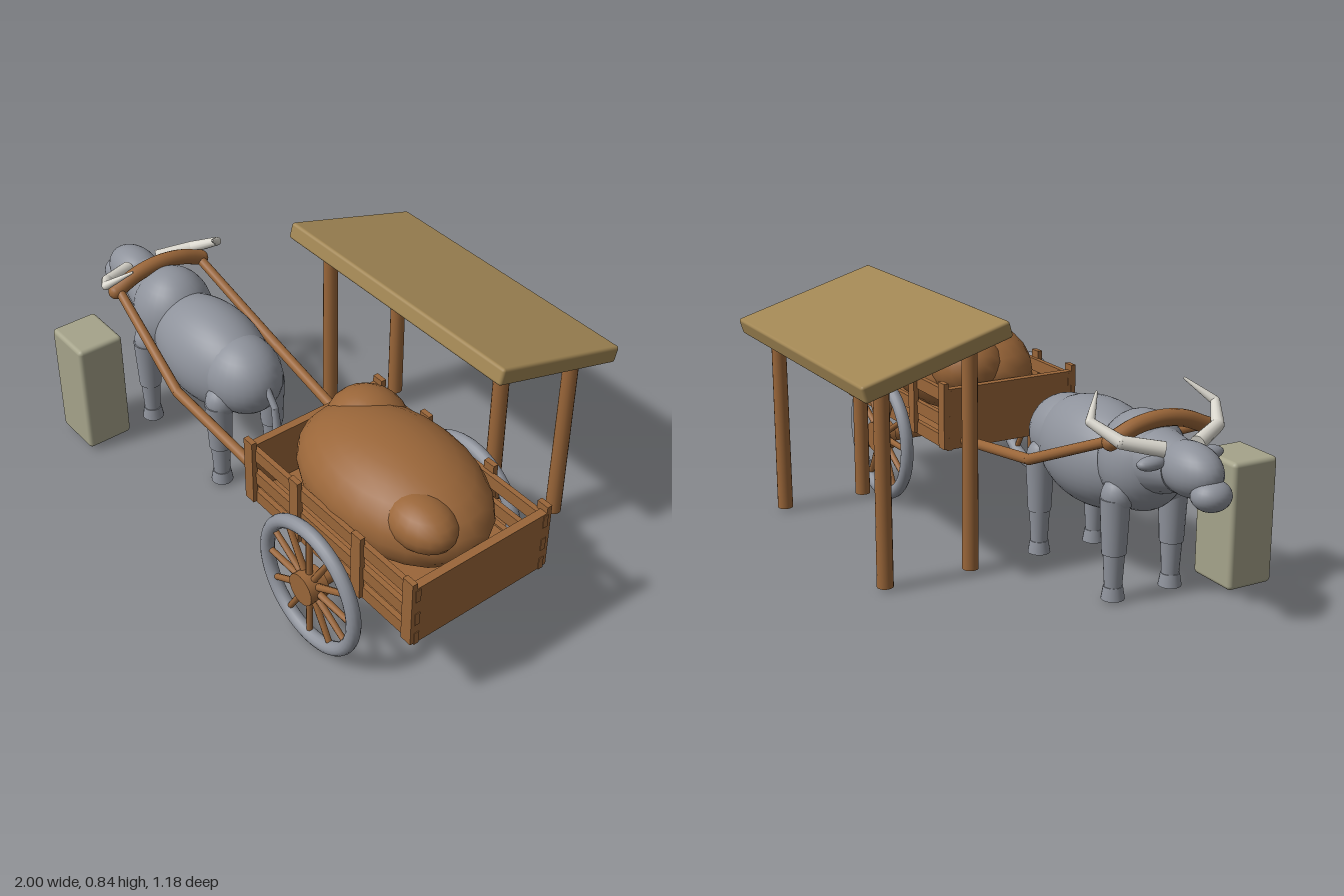
import * as THREE from 'three';
import { RoundedBoxGeometry } from 'three/addons/geometries/RoundedBoxGeometry.js';

const mat = (name, color) => Object.assign(new THREE.MeshStandardMaterial({ color }), { name });

export function createModel() {
  const wood = mat('brown wood', 0x9a6639);
  const hide = mat('grey hide', 0x8e929b);
  const horn = mat('pale horn', 0xd8d5cc);
  const thatch = mat('straw thatch', 0xa18654);
  const stone = mat('pale stone', 0xa5a38a);
  const model = new THREE.Group();
  model.name = 'oxCartAndShelter';
  const CZ = 0.2; // centre line of ox and cart

  const part = (parent, name, geo, m, x = 0, y = 0, z = 0) => {
    const mesh = new THREE.Mesh(geo, m);
    mesh.name = name;
    mesh.position.set(x, y, z);
    parent.add(mesh);
    return mesh;
  };
  const group = (name) => {
    const g = new THREE.Group();
    g.name = name;
    model.add(g);
    return g;
  };
  const box = (p, name, m, w, h, d, x, y, z) => part(p, name, new THREE.BoxGeometry(w, h, d), m, x, y, z);
  const ball = (p, name, m, [x, y, z], [rx, ry, rz], seg = 28) =>
    part(p, name, new THREE.SphereGeometry(1, seg, Math.round(seg * 0.6)).scale(rx, ry, rz), m, x, y, z);
  // Round bar from a to b, tapering from ra to rb
  const bar = (p, name, m, a, b, ra, rb = ra, seg = 14) => {
    const A = new THREE.Vector3(...a), B = new THREE.Vector3(...b);
    const dir = B.clone().sub(A);
    const mesh = part(p, name, new THREE.CylinderGeometry(rb, ra, dir.length(), seg), m);
    mesh.position.copy(A).add(B).multiplyScalar(0.5);
    mesh.quaternion.setFromUnitVectors(new THREE.Vector3(0, 1, 0), dir.normalize());
    return mesh;
  };
  // Chain of bars with rounded joints
  const chain = (p, name, m, pts, radii) => {
    for (let i = 0; i < pts.length - 1; i++) {
      bar(p, name, m, pts[i], pts[i + 1], radii[i], radii[i + 1]);
      if (i) ball(p, name + 'Joint', m, pts[i], [radii[i], radii[i], radii[i]], 12);
    }
  };

  // Shelter: sloping roof on four posts
  const shelter = group('shelter');
  const roof = part(shelter, 'roof', new RoundedBoxGeometry(1.02, 0.057, 0.525, 2, 0.01), thatch, 0.225, 0.748, -0.332);
  roof.rotation.x = -0.28;
  for (const x of [-0.19, 0.64]) {
    bar(shelter, 'frontPost', wood, [x, 0.015, -0.177], [x, 0.77, -0.177], 0.027, 0.025, 16);
    bar(shelter, 'backPost', wood, [x, 0.015, -0.483], [x, 0.685, -0.483], 0.027, 0.025, 16);
  }

  // Upright stone block
  part(model, 'stoneBlock', new RoundedBoxGeometry(0.187, 0.42, 0.168, 3, 0.015), stone, -0.673, 0.23, 0.508);

  // Cart bed, end boards, slatted sides
  const cart = group('cart');
  box(cart, 'floor', wood, 0.78, 0.035, 0.5, 0.6, 0.303, CZ);
  for (const x of [0.215, 0.98]) box(cart, 'endBoard', wood, 0.028, 0.216, 0.508, x, 0.393, CZ);
  for (const s of [-1, 1]) {
    for (const y of [0.305, 0.382, 0.472])
      box(cart, 'sideRail', wood, 0.796, 0.045, 0.018, 0.598, y, CZ + s * 0.243);
    for (const x of [0.22, 0.45, 0.745, 0.973])
      box(cart, 'sidePost', wood, 0.042, 0.235, 0.018, x, 0.405, CZ + s * 0.256);
  }

  // Lumpy load
  ball(cart, 'load', wood, [0.597, 0.485, CZ], [0.365, 0.175, 0.24], 24);
  ball(cart, 'loadLump', wood, [0.375, 0.525, 0.12], [0.14, 0.115, 0.13], 20);
  ball(cart, 'loadLump', wood, [0.82, 0.54, 0.29], [0.13, 0.08, 0.095], 20);

  // Axle and spoked wheels
  const WX = 0.595, WY = 0.24;
  bar(cart, 'axle', wood, [WX, WY, -0.12], [WX, WY, 0.52], 0.027);
  for (const s of [-1, 1]) {
    const wheel = new THREE.Group();
    wheel.name = 'wheel';
    wheel.position.set(WX, WY, CZ + s * 0.317);
    cart.add(wheel);
    part(wheel, 'rim', new THREE.TorusGeometry(0.211, 0.023, 14, 48), hide);
    bar(wheel, 'hub', wood, [0, 0, -0.034], [0, 0, 0.034], 0.054, 0.054, 20);
    for (let i = 0; i < 12; i++) {
      const a = i * Math.PI / 6, c = Math.cos(a), n = Math.sin(a);
      bar(wheel, 'spoke', wood, [c * 0.04, n * 0.04, 0], [c * 0.205, n * 0.205, 0], 0.012, 0.01, 8);
    }
    // Bent draught shafts
    chain(cart, 'shaft', wood, [
      [0.25, 0.303, CZ + s * 0.18], [-0.27, 0.382, CZ + s * 0.207], [-0.68, 0.555, CZ + s * 0.165],
    ], [0.018, 0.018, 0.016]);
  }

  // Yoke arched over the neck
  const yokeCurve = new THREE.CatmullRomCurve3(
    [[0.55, -0.175], [0.585, -0.09], [0.597, 0], [0.585, 0.09], [0.55, 0.175]]
      .map(([y, z]) => new THREE.Vector3(-0.68, y, CZ + z)));
  part(cart, 'yoke', new THREE.TubeGeometry(yokeCurve, 24, 0.027, 14), wood);
  for (const s of [-1, 1]) ball(cart, 'yokeEnd', wood, [-0.68, 0.55, CZ + s * 0.175], [0.027, 0.027, 0.027], 14);

  // Ox body and head
  const ox = group('ox');
  ball(ox, 'barrel', hide, [-0.36, 0.405, CZ], [0.275, 0.177, 0.158], 36);
  ball(ox, 'rump', hide, [-0.19, 0.415, CZ], [0.157, 0.135, 0.13]);
  ball(ox, 'shoulders', hide, [-0.6, 0.445, CZ], [0.145, 0.16, 0.138]);
  bar(ox, 'neck', hide, [-0.62, 0.46, CZ], [-0.8, 0.48, CZ], 0.12, 0.078, 24);
  ball(ox, 'head', hide, [-0.84, 0.485, CZ], [0.125, 0.083, 0.08]);
  ball(ox, 'muzzle', hide, [-0.942, 0.435, CZ], [0.058, 0.048, 0.063]);

  for (const s of [-1, 1]) {
    const side = (x, y, z) => [x, y, CZ + s * z];
    ball(ox, 'ear', hide, side(-0.79, 0.505, 0.105), [0.027, 0.022, 0.05], 16);
    chain(ox, 'horn', horn, [
      side(-0.79, 0.54, 0.06), side(-0.735, 0.565, 0.175), side(-0.65, 0.612, 0.228), side(-0.578, 0.677, 0.16),
    ], [0.025, 0.021, 0.015, 0.004]);
    // Legs with flared hooves
    for (const [n, x] of [['front', -0.615], ['hind', -0.175]]) {
      bar(ox, n + 'UpperLeg', hide, side(x, 0.165, 0.108), side(x, 0.345, 0.108), 0.039, 0.048, 18);
      ball(ox, n + 'Thigh', hide, side(x, 0.35, 0.1), [0.052, 0.06, 0.052], 18);
      bar(ox, n + 'LowerLeg', hide, side(x, 0.05, 0.108), side(x, 0.17, 0.108), 0.028, 0.035, 18);
      bar(ox, n + 'Hoof', hide, side(x, 0.015, 0.108), side(x, 0.057, 0.108), 0.038, 0.031, 18);
    }
  }

  // Tail with a widening tuft
  chain(ox, 'tail', hide, [[-0.05, 0.44, CZ], [-0.005, 0.38, CZ], [0.02, 0.2, CZ]], [0.011, 0.012, 0.019]);

  return model;
}
